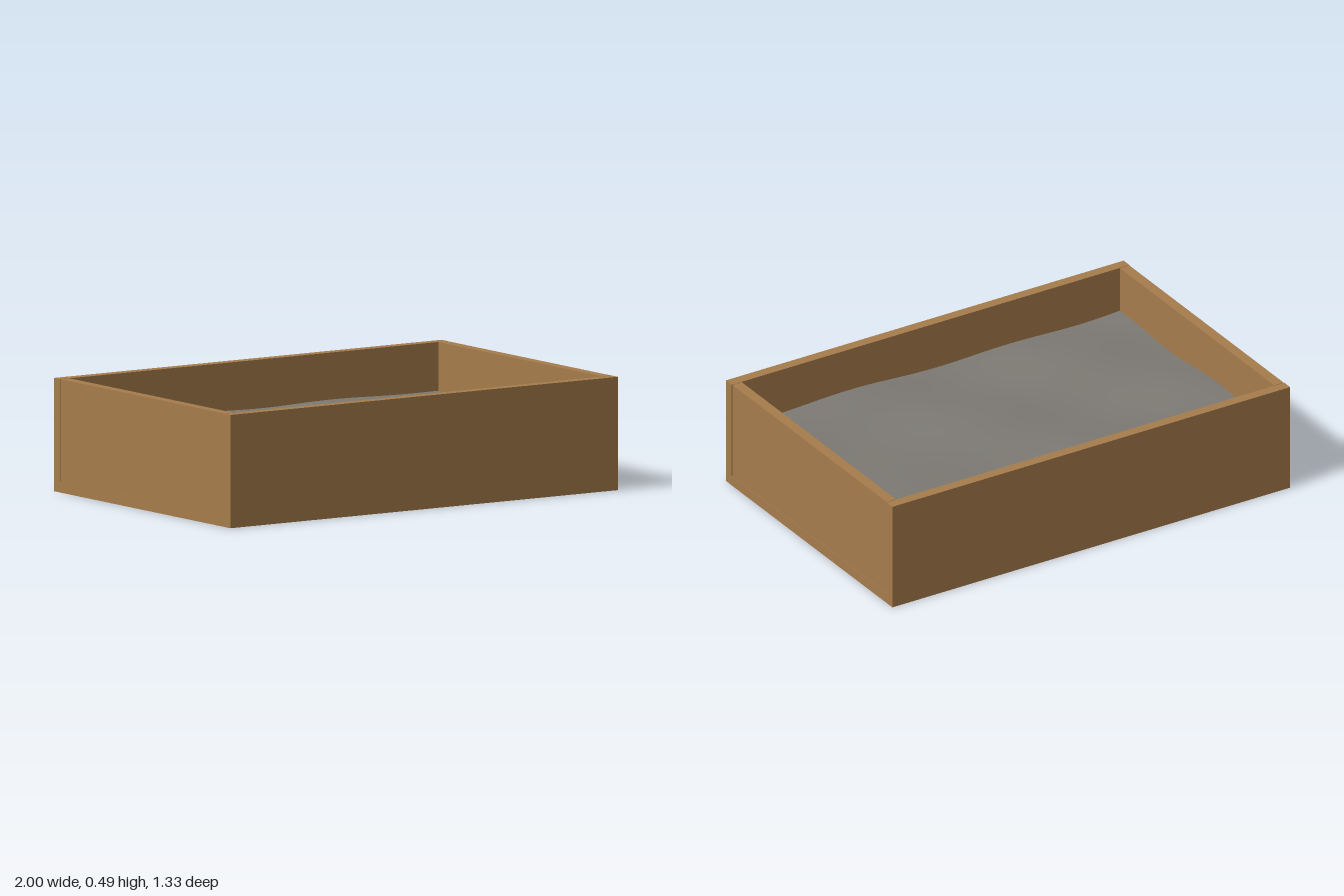
import * as THREE from 'three';

const LENGTH = 2, DEPTH = 1.33, HEIGHT = 0.487, BOARD = 0.047;

export function createModel() {
  const wood = new THREE.MeshStandardMaterial({ color: 0xa67c4c });
  wood.name = 'wood';
  const fill = new THREE.MeshStandardMaterial({ color: 0x7d7a74, side: THREE.DoubleSide });
  fill.name = 'greyFill';

  const model = new THREE.Group();
  model.name = 'planterBox';

  const board = (name, w, h, d, x, y, z) => {
    const mesh = new THREE.Mesh(new THREE.BoxGeometry(w, h, d), wood);
    mesh.name = name;
    mesh.position.set(x, y, z);
    model.add(mesh);
  };

  // Full-size base board with the four walls standing on it
  board('baseBoard', LENGTH, BOARD, DEPTH, 0, BOARD / 2, 0);
  const wallH = HEIGHT - BOARD, wallY = BOARD + wallH / 2;
  const innerDepth = DEPTH - 2 * BOARD, innerLength = LENGTH - 2 * BOARD;
  for (const s of [1, -1]) {
    board(s > 0 ? 'frontWall' : 'backWall', LENGTH, wallH, BOARD, 0, wallY, s * (DEPTH - BOARD) / 2);
    // End walls fit between the long walls, set in by a hair
    board(s > 0 ? 'leftWall' : 'rightWall', BOARD, wallH, innerDepth - 0.004,
      s * ((LENGTH - BOARD) / 2 - 0.002), wallY, 0);
  }

  // Gently uneven surface of the filling
  const surface = new THREE.PlaneGeometry(innerLength + 0.01, innerDepth + 0.01, 48, 32);
  surface.rotateX(-Math.PI / 2);
  const p = surface.attributes.position;
  for (let i = 0; i < p.count; i++) {
    const x = p.getX(i), z = p.getZ(i);
    const bumps = 0.007 * Math.sin(5.2 * x + 2.1 * z + 0.6) * Math.cos(6.5 * z - 1.3 * x)
      + 0.004 * Math.sin(8.5 * x - 5 * z + 1.7)
      + 0.003 * Math.sin(11 * z + 4 * x);
    p.setY(i, 0.28 + bumps);
  }
  surface.computeVertexNormals();
  const soil = new THREE.Mesh(surface, fill);
  soil.name = 'fillSurface';
  model.add(soil);

  return model;
}
